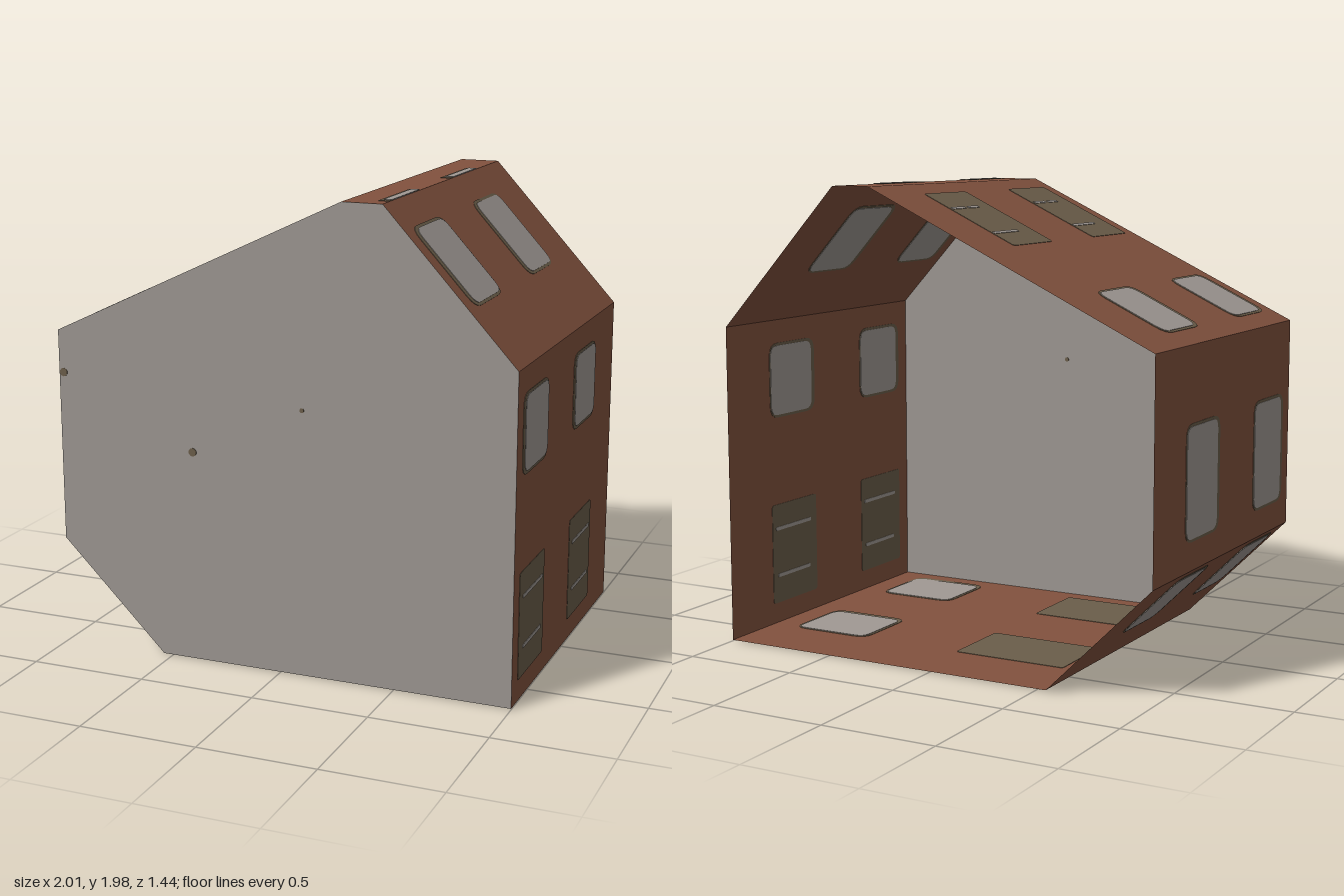
import * as THREE from 'three';

const brick = new THREE.MeshStandardMaterial({ name: 'brick', color: 0x82523e, side: THREE.DoubleSide });
const plaster = new THREE.MeshStandardMaterial({ name: 'plaster', color: 0x9c9691, side: THREE.DoubleSide });
const olive = new THREE.MeshStandardMaterial({ name: 'olive trim', color: 0x6b5e4a });
const pane = new THREE.MeshStandardMaterial({ name: 'pane', color: 0xa09994 });

const HALF_DEPTH = 0.72;
const ROWS = [-0.41, 0.31]; // z where each column of windows begins

// House outline, counterclockwise, with what sits on the panel that starts at
// each corner. Spans are distances along the panel; slats are [position, z start, z end].
const PANELS = [
  { name: 'floor', at: [-0.54, 0], windows: [[1.065, 1.415]], shutters: [[0.08, 0.59]] },
  { name: 'leftWall', at: [1, 0], windows: [[0.945, 1.255]], shutters: [[0.09, 0.54]],
    slats: [[0.215, 0.03, 0.28], [0.43, 0.02, 0.29]] },
  { name: 'steepRoof', at: [1, 1.37], windows: [[0.305, 0.678]] },
  { name: 'ridge', at: [0.445, 1.975], strips: [[0, 0.034]] },
  { name: 'longRoof', at: [0.275, 1.975], windows: [[0.973, 1.3]], shutters: [[0.089, 0.559]],
    slats: [[0.227, 0.01, 0.12], [0.227, 0.14, 0.23], [0.448, 0.0, 0.21]] },
  { name: 'rightWall', at: [-1, 1.37], windows: [[0.325, 0.78]] },
  { name: 'lowerSlope', at: [-1, 0.46], windows: [[0.05, 0.39]] },
];

// Thin rounded plate that straddles the panel, so it shows inside and out
function plate(name, s0, s1, z0, z1, radius, thickness, material) {
  const r = Math.min(radius, (s1 - s0) / 2.1);
  const shape = new THREE.Shape();
  shape.moveTo(s0 + r, z0);
  shape.lineTo(s1 - r, z0);
  shape.quadraticCurveTo(s1, z0, s1, z0 + r);
  shape.lineTo(s1, z1 - r);
  shape.quadraticCurveTo(s1, z1, s1 - r, z1);
  shape.lineTo(s0 + r, z1);
  shape.quadraticCurveTo(s0, z1, s0, z1 - r);
  shape.lineTo(s0, z0 + r);
  shape.quadraticCurveTo(s0, z0, s0 + r, z0);
  const geometry = new THREE.ExtrudeGeometry(shape, { depth: thickness, bevelEnabled: false, curveSegments: 4 });
  geometry.translate(0, 0, -thickness / 2);
  const mesh = new THREE.Mesh(geometry, material);
  mesh.name = name;
  return mesh;
}

function createPanel({ name, at, windows = [], shutters = [], slats = [], strips = [] }, end) {
  const start = new THREE.Vector3(at[0], at[1], 0);
  const along = new THREE.Vector3(end[0], end[1], 0).sub(start);
  const length = along.length();
  along.normalize();
  const across = new THREE.Vector3(0, 0, 1);

  // Local x runs along the outline, local y runs along the depth
  const group = new THREE.Group();
  group.name = name;
  group.quaternion.setFromRotationMatrix(
    new THREE.Matrix4().makeBasis(along, across, new THREE.Vector3().crossVectors(along, across)));
  group.position.copy(start);

  const sheet = new THREE.Mesh(new THREE.PlaneGeometry(length, 2 * HALF_DEPTH), brick);
  sheet.name = name + 'Sheet';
  sheet.position.x = length / 2;
  group.add(sheet);

  for (const z of ROWS) {
    for (const [a, b] of windows) {
      group.add(plate('windowFrame', a - 0.012, b + 0.012, z - 0.006, z + 0.337, 0.06, 0.004, olive));
      group.add(plate('windowPane', a, b, z, z + 0.31, 0.045, 0.008, pane));
    }
    for (const [a, b] of shutters) {
      group.add(plate('shutter', a, b, z - 0.005, z + 0.335, 0.015, 0.004, olive));
    }
    for (const [s, z0, z1] of slats) {
      group.add(plate('slat', s - 0.008, s + 0.008, z + z0, z + z1, 0.006, 0.008, pane));
    }
    for (const [a, b] of strips) {
      group.add(plate('ridgeFrame', a, b + 0.012, z - 0.006, z + 0.337, 0.003, 0.004, olive));
      group.add(plate('ridgePane', a, b, z, z + 0.31, 0.003, 0.008, pane));
    }
  }
  return group;
}

export function createModel() {
  const model = new THREE.Group();
  model.name = 'house';

  // Open-backed shell of brick panels
  PANELS.forEach((panel, i) => model.add(createPanel(panel, PANELS[(i + 1) % PANELS.length].at)));

  // Plain gable wall closing the front
  const outline = new THREE.Shape(PANELS.map(({ at }) => new THREE.Vector2(...at)));
  const gable = new THREE.Mesh(new THREE.ShapeGeometry(outline), plaster);
  gable.name = 'frontWall';
  gable.position.z = HALF_DEPTH;
  model.add(gable);

  // Small weathered spots on the gable
  for (const [x, y, r] of [[-0.98, 1.19, 0.018], [0.105, 1.13, 0.01], [-0.385, 0.905, 0.018]]) {
    const spot = new THREE.Mesh(new THREE.CylinderGeometry(r, r, 0.004, 10).rotateX(Math.PI / 2), olive);
    spot.name = 'spot';
    spot.position.set(x, y, HALF_DEPTH);
    model.add(spot);
  }
  return model;
}
